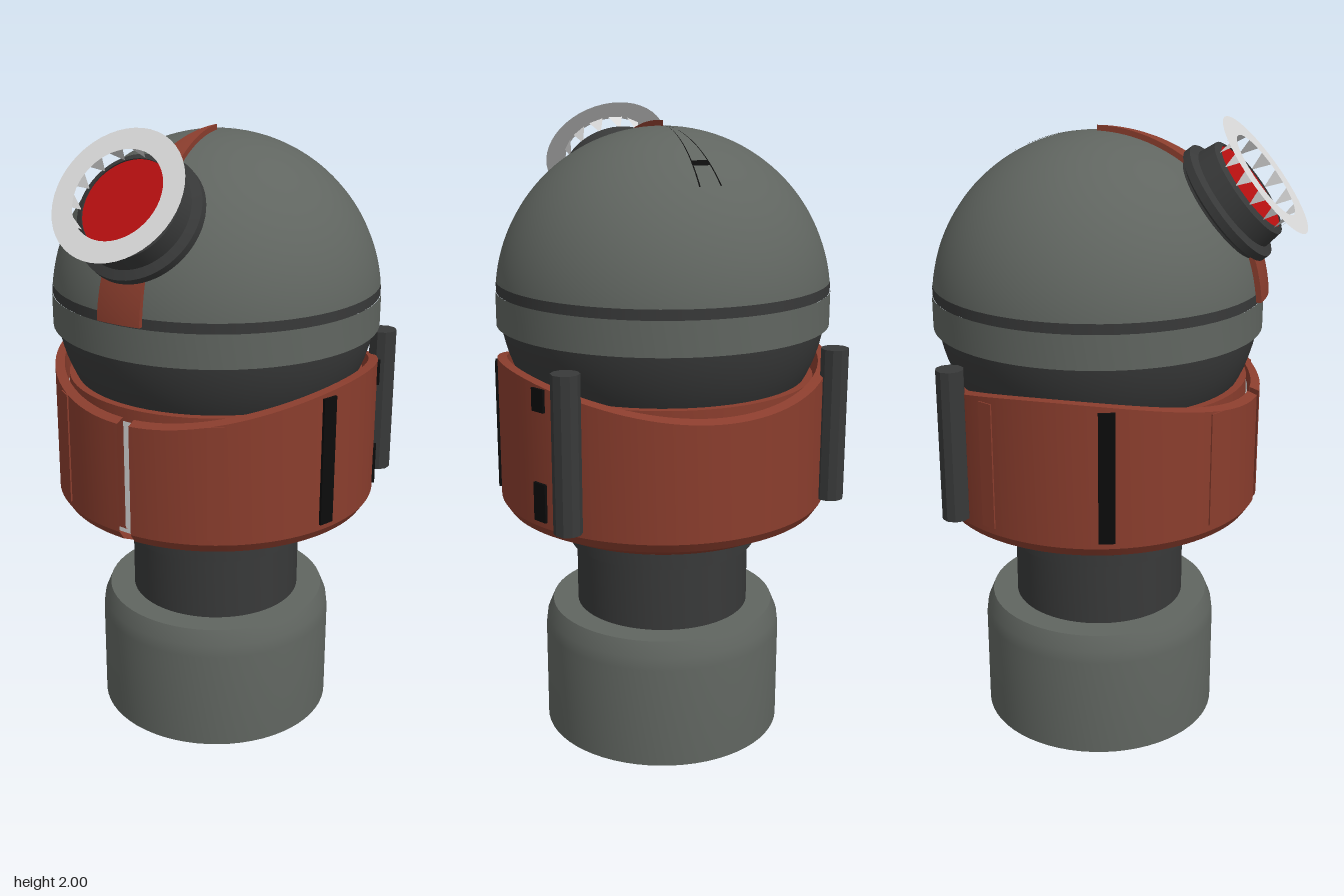
import * as THREE from 'three';
import { toCreasedNormals } from 'three/addons/utils/BufferGeometryUtils.js';

const mat = (name, color, side = THREE.FrontSide) => {
  const m = new THREE.MeshStandardMaterial({ color, side });
  m.name = name;
  return m;
};

export function createModel() {
  const grey = mat('grey shell', 0x606560);
  const dark = mat('dark metal', 0x383939);
  const red = mat('rust red', 0x8a3d2d, THREE.DoubleSide);
  const black = mat('black trim', 0x0c0c0c);
  const white = mat('white trim', 0xd8d8d8, THREE.DoubleSide);
  const lensRed = mat('lens red', 0xb80f10);

  const model = new THREE.Group();
  model.name = 'lampHeadRobot';
  const body = new THREE.Group();
  body.name = 'body';
  body.position.z = -0.06; // the main axis sits slightly behind the centre
  model.add(body);

  const add = (name, geo, material, parent = body) => {
    const mesh = new THREE.Mesh(geo, material);
    mesh.name = name;
    parent.add(mesh);
    return mesh;
  };
  const lathe = (pts, gap = 0, seg = 64) => new THREE.LatheGeometry(
    pts.map(p => new THREE.Vector2(...p)), seg, gap, Math.PI * 2 - 2 * gap);
  const turned = (pts, gap) => toCreasedNormals(lathe(pts, gap), 0.5);

  // Base and neck
  add('base', turned([[0, 0], [0.387, 0], [0.387, 0.33], [0.382, 0.37], [0.362, 0.418], [0.27, 0.418]]), grey);
  add('neck', turned([[0.28, 0.41], [0.28, 0.63], [0.3, 0.63], [0.3, 0.68], [0.28, 0.68], [0.28, 1.05]]), dark);

  // Collar: split at the front, top edge rises toward the sides
  const collar = lathe([[0.36, 0.76], [0.36, 0.73], [0.42, 0.73], [0.5, 0.77], [0.52, 0.8],
    [0.52, 1.2], [0.49, 1.2], [0.49, 0.8], [0.36, 0.76]], 0.04, 96);
  const pos = collar.attributes.position;
  for (let i = 0; i < pos.count; i++) {
    if (pos.getY(i) > 1) pos.setY(i, 1.255 - 0.1 * (pos.getZ(i) / 0.52) ** 2);
  }
  add('collar', toCreasedNormals(collar, 0.5), red);
  add('collarInnerRing', turned([[0.475, 1.1], [0.475, 1.19], [0.43, 1.19]]), red);
  add('collarLining', new THREE.CylinderGeometry(0.48, 0.48, 0.37, 64, 1, true), white).position.y = 0.965;

  // Raised strips around the collar
  const strip = (name, angle, y0, y1, material, r = 0.522) => {
    const m = add(name, new THREE.BoxGeometry(0.05, y1 - y0, 0.012), material);
    m.position.set(Math.sin(angle) * r, (y0 + y1) / 2, Math.cos(angle) * r);
    m.rotation.y = angle;
  };
  for (const s of [-1, 1]) {
    strip('frontStrip', s * 0.56, 0.82, 1.18, red, 0.518);
    strip('sideStrip', s * 1.26, 0.82, 1.23, black);
    // Rear rods
    const rod = add('rearRod', toCreasedNormals(new THREE.CylinderGeometry(0.043, 0.043, 0.48, 10), 0.3), dark);
    rod.position.set(s * 0.43, 1.06, -0.34);
  }
  strip('rearStrip', -2.0, 0.82, 1.22, red, 0.518);
  strip('rearPadUpper', 2.0, 1.16, 1.23, black);
  strip('rearPadLower', 2.0, 0.82, 0.94, black);

  // Head
  const head = new THREE.Group();
  head.name = 'head';
  head.position.y = 1.43;
  body.add(head);
  add('lowerHead', new THREE.SphereGeometry(0.51, 64, 24, 0, Math.PI * 2, Math.PI / 2, Math.PI / 2), dark, head);
  add('headBand', turned([[0.49, -0.075], [0.52, -0.075], [0.52, 0.03]]), grey, head);
  add('headGroove', new THREE.CylinderGeometry(0.518, 0.518, 0.032, 64, 1, true), dark, head).position.y = 0.045;
  add('dome', new THREE.SphereGeometry(0.52, 64, 32, 0, Math.PI * 2, 0, Math.PI / 2 - 0.11), grey, head);

  // Tapering crest down the front and wedge down the back
  const gore = (name, r, phi, half, t0, t1, material) =>
    add(name, new THREE.SphereGeometry(r, 6, 32, phi - half, half * 2, t0, t1 - t0), material, head);
  gore('crest', 0.537, Math.PI / 2, 0.14, 0, 1.5, red);
  for (const s of [-1, 1]) {
    const side = add('crestEdge', new THREE.RingGeometry(0.51, 0.537, 48, 1, 0.07, Math.PI / 2 - 0.07), red, head);
    side.rotation.y = -Math.PI / 2 + s * 0.14;
  }
  gore('rearWedge', 0.522, Math.PI * 1.5, 0.09, 0, 0.77, grey);
  gore('rearWedgeMark', 0.524, Math.PI * 1.5, 0.09, 0.57, 0.615, black);
  for (const s of [-1, 1]) {
    gore('rearWedgeLine', 0.523, Math.PI * 1.5 + s * 0.09, 0.006, 0, 0.77, black);
  }

  // Eye: local +y points out from the head centre
  const eye = new THREE.Group();
  eye.name = 'eye';
  eye.rotation.x = Math.atan2(0.786, 0.618);
  head.add(eye);
  add('eyeBarrel', turned([[0.18, 0.45], [0.18, 0.495], [0.2, 0.505], [0.2, 0.53], [0.172, 0.54],
    [0.165, 0.595], [0.145, 0.605], [0.145, 0.59]]), dark, eye);
  const lens = add('lens', new THREE.CircleGeometry(0.146, 48), lensRed, eye);
  lens.rotation.x = -Math.PI / 2;
  lens.position.y = 0.6;
  const rim = add('eyeRim', new THREE.RingGeometry(0.143, 0.21, 48), white, eye);
  rim.rotation.x = -Math.PI / 2;
  rim.position.y = 0.66;

  // Pointed teeth holding the rim off the barrel
  const teeth = [];
  const n = 14;
  for (let i = 0; i < n; i++) {
    const a = (i / n) * Math.PI * 2, w = 0.16;
    for (const [t, r, y] of [[a - w, 0.15, 0.66], [a, 0.15, 0.6], [a + w, 0.15, 0.66]]) {
      teeth.push(Math.sin(t) * r, y, Math.cos(t) * r);
    }
  }
  const toothGeo = new THREE.BufferGeometry();
  toothGeo.setAttribute('position', new THREE.Float32BufferAttribute(teeth, 3));
  toothGeo.computeVertexNormals();
  add('rimTeeth', toothGeo, white, eye);

  return model;
}
